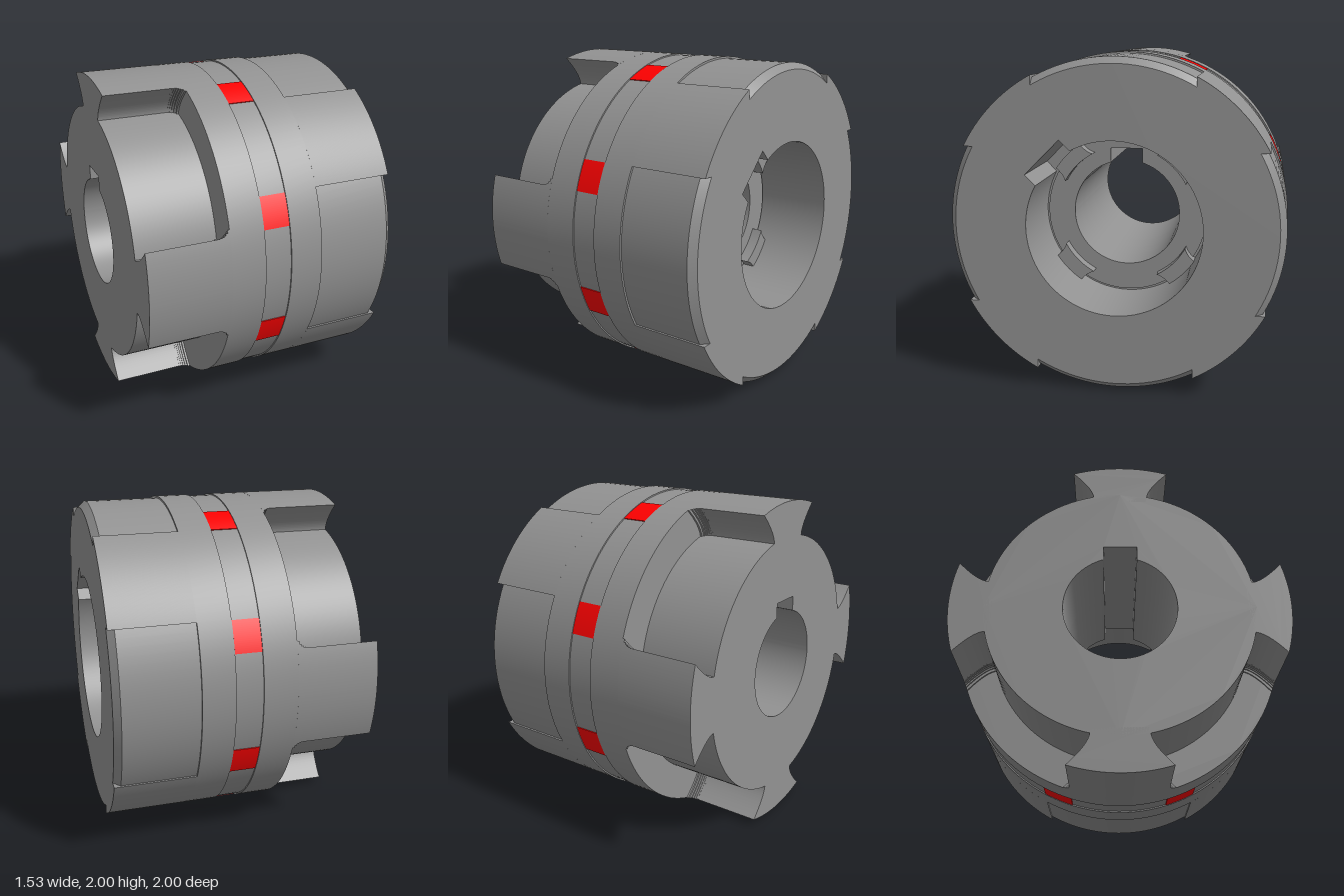
import * as THREE from 'three';
import { toCreasedNormals } from 'three/addons/utils/BufferGeometryUtils.js';

const RAD = Math.PI / 180;
const CY = 1; // height of the coupling axis
const polar = (r, deg) => [r * Math.cos(deg * RAD), r * Math.sin(deg * RAD)];

// round bore with a rectangular keyway pointing towards angle deg
function boreWithKey(r, halfWidth, depth, deg) {
  const p = new THREE.Path();
  const a = Math.asin(halfWidth / r);
  const d = deg * RAD;
  p.absarc(0, 0, r, d + a, d - a + Math.PI * 2, false);
  for (const s of [-1, 1]) {
    p.lineTo(depth * Math.cos(d) - s * halfWidth * Math.sin(d), depth * Math.sin(d) + s * halfWidth * Math.cos(d));
  }
  p.closePath();
  return p;
}

function disc(r, hole) {
  const s = new THREE.Shape().absarc(0, 0, r, 0, Math.PI * 2, false);
  s.holes.push(hole);
  return s;
}

// jaw cross-section: wide at the rim, with hollow sides; grow widens it in degrees
function jaw(deg, grow = 0) {
  const s = new THREE.Shape();
  s.moveTo(...polar(0.76, deg - 12 - grow));
  s.lineTo(...polar(0.795, deg - 12 - grow));
  s.quadraticCurveTo(...polar(0.86, deg - 11.5 - grow), ...polar(1, deg - 17 - grow));
  s.absarc(0, 0, 1, (deg - 17 - grow) * RAD, (deg + 17 + grow) * RAD, false);
  s.quadraticCurveTo(...polar(0.86, deg + 11.5 + grow), ...polar(0.795, deg + 12 + grow));
  s.lineTo(...polar(0.76, deg + 12 + grow));
  s.closePath();
  return s;
}

// small claw reaching into the bore
function claw(deg) {
  const s = new THREE.Shape();
  s.moveTo(...polar(0.43, deg - 17));
  s.quadraticCurveTo(...polar(0.46, deg - 13), ...polar(0.52, deg - 12));
  s.absarc(0, 0, 0.52, (deg - 12) * RAD, (deg + 12) * RAD, false);
  s.quadraticCurveTo(...polar(0.46, deg + 13), ...polar(0.43, deg + 17));
  s.absarc(0, 0, 0.43, (deg + 17) * RAD, (deg - 17) * RAD, true);
  return s;
}

function sector(r0, r1, deg, half) {
  const s = new THREE.Shape();
  s.absarc(0, 0, r1, (deg - half) * RAD, (deg + half) * RAD, false);
  s.absarc(0, 0, r0, (deg + half) * RAD, (deg - half) * RAD, true);
  s.closePath();
  return s;
}

export function createModel() {
  const model = new THREE.Group();
  const steel = new THREE.MeshStandardMaterial({ color: 0x929292 });
  const red = new THREE.MeshStandardMaterial({ color: 0xff0000 });

  // extrude a section along the x axis from x0 to x1
  function along(name, shape, x0, x1, parent, material = steel) {
    const g = new THREE.ExtrudeGeometry(shape, { depth: x1 - x0, bevelEnabled: false, curveSegments: 64 });
    g.translate(0, 0, x0).rotateY(Math.PI / 2);
    const mesh = new THREE.Mesh(toCreasedNormals(g, 0.5), material);
    mesh.name = name;
    mesh.position.y = CY;
    parent.add(mesh);
  }

  // jawed hub with the narrow bore
  const hub = new THREE.Group();
  hub.name = 'jawedHub';
  model.add(hub);
  const narrow = () => boreWithKey(0.335, 0.1, 0.41, 90);
  along('hubFlange', disc(1, narrow()), -0.28, -0.075, hub);
  along('hubCore', disc(0.795, narrow()), -0.765, -0.28, hub);
  const steps = 6, fillet = 0.07;
  for (let k = 0; k < 4; k++) {
    along('hubJaw', jaw(k * 90), -0.765, -0.28, hub);
    // stepped fillet where the jaw meets the flange
    for (let i = 0; i < steps; i++) {
      const t = (i + 0.5) / steps;
      const grow = (1 - Math.sqrt(1 - t * t)) * fillet / RAD;
      along('jawFillet', jaw(k * 90, grow), -0.28 - fillet * (1 - i / steps), -0.28, hub);
    }
  }

  // sleeve with jaws let into its rim and a wide bore that stops at a floor
  const sleeve = new THREE.Group();
  sleeve.name = 'sleeveHub';
  model.add(sleeve);
  along('sleeveFlange', disc(1, narrow()), 0.085, 0.28, sleeve);
  along('boreFloor', disc(0.505, narrow()), 0.28, 0.3, sleeve);
  along('sleeveCore', disc(0.95, boreWithKey(0.52, 0.147, 0.587, 135)), 0.28, 0.765, sleeve);
  const rim = new THREE.LatheGeometry(
    [[0.94, 0.28], [0.988, 0.28], [0.988, 0.725], [0.95, 0.765]].map(([r, x]) => new THREE.Vector2(r, x)), 128);
  rim.rotateZ(-Math.PI / 2);
  const rimMesh = new THREE.Mesh(toCreasedNormals(rim, 0.5), steel);
  rimMesh.name = 'sleeveRim';
  rimMesh.position.y = CY;
  sleeve.add(rimMesh);
  for (let k = 0; k < 4; k++) {
    along('sleeveJaw', jaw(45 + k * 90), 0.28, 0.765, sleeve);
    along('boreClaw', claw(45 + k * 90), 0.28, 0.37, sleeve);
  }

  // shallow groove between the halves, with coloured cushions
  along('grooveRing', disc(0.992, narrow()), -0.075, 0.085, model);
  for (let k = 0; k < 8; k++) {
    along('cushion', sector(0.8, 0.997, 22.5 + k * 45, 5.4), -0.074, 0.084, model, red);
  }
  return model;
}
